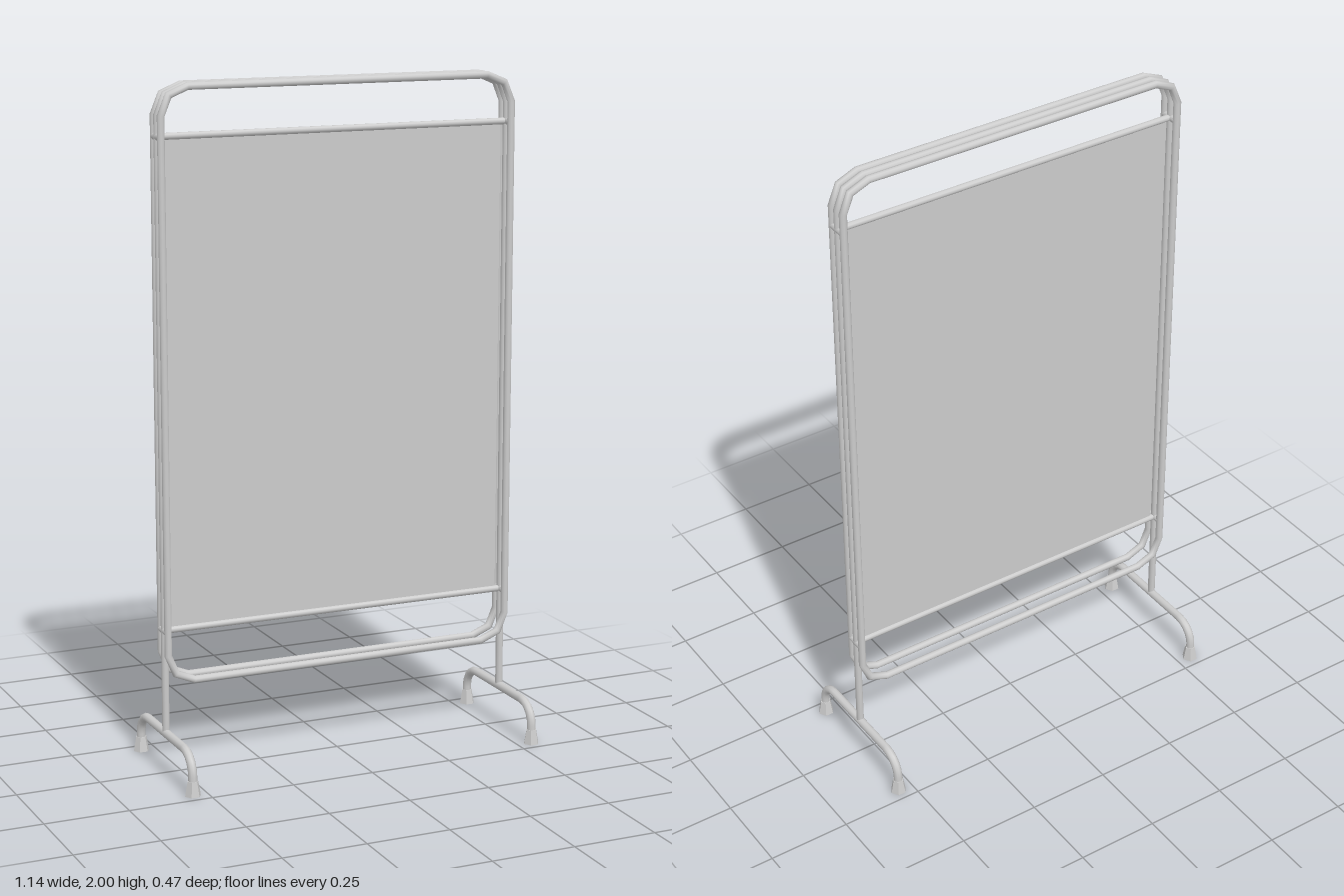
import * as THREE from 'three';

const material = new THREE.MeshStandardMaterial({ color: 0xcccccc });
const HALF_W = 0.545, TUBE = 0.011, GAP = 0.028, BEND = 0.08;

// Mitred round tube along a flat path of [x, y] points
function sweep(points, radius, closed = false, sides = 10) {
  const n = points.length, pos = [], index = [];
  const P = points.map(([x, y]) => new THREE.Vector2(x, y));
  for (let i = 0; i < n; i++) {
    const prev = closed ? P[(i + n - 1) % n] : P[Math.max(i - 1, 0)];
    const next = closed ? P[(i + 1) % n] : P[Math.min(i + 1, n - 1)];
    const a = P[i].clone().sub(prev).normalize();
    const b = next.clone().sub(P[i]).normalize();
    const t = a.clone().add(b).normalize();
    const mitre = radius / Math.max(t.dot(a), t.dot(b));
    for (let j = 0; j < sides; j++) {
      const ang = (j / sides) * Math.PI * 2;
      const c = Math.cos(ang) * mitre;
      pos.push(P[i].x - t.y * c, P[i].y + t.x * c, Math.sin(ang) * radius);
    }
  }
  for (let i = 0; i < (closed ? n : n - 1); i++) {
    for (let j = 0; j < sides; j++) {
      const k = (j + 1) % sides, r0 = i * sides, r1 = ((i + 1) % n) * sides;
      index.push(r0 + j, r0 + k, r1 + j, r0 + k, r1 + k, r1 + j);
    }
  }
  const g = new THREE.BufferGeometry();
  g.setAttribute('position', new THREE.Float32BufferAttribute(pos, 3));
  g.setIndex(index);
  g.computeVertexNormals();
  return g;
}

// Points of a quarter bend, counter-clockwise from the start angle
function bend(cx, cy, r, start, steps) {
  return Array.from({ length: steps + 1 }, (_, i) => {
    const a = start + (i / steps) * Math.PI / 2;
    return [cx + Math.cos(a) * r, cy + Math.sin(a) * r];
  });
}

export function createModel() {
  const group = new THREE.Group();
  const add = (name, geometry, x = 0, y = 0, z = 0) => {
    const mesh = new THREE.Mesh(geometry, material);
    mesh.name = name;
    mesh.position.set(x, y, z);
    group.add(mesh);
    return mesh;
  };

  // Front and back frames: closed loops with faceted corners
  const cx = HALF_W - BEND, topY = 2 - TUBE - BEND, lowY = 0.27 + TUBE + BEND;
  const topBends = [...bend(cx, topY, BEND, 0, 2), ...bend(-cx, topY, BEND, Math.PI / 2, 2)];
  const loop = [
    ...topBends,
    ...bend(-cx, lowY, BEND, Math.PI, 2),
    ...bend(cx, lowY, BEND, Math.PI * 1.5, 2),
  ];
  add('frontFrame', sweep(loop, TUBE, true), 0, 0, GAP);
  add('backFrame', sweep(loop, TUBE, true), 0, 0, -GAP);

  // Middle frame: arch whose posts run down to the feet
  add('middleFrame', sweep([[HALF_W, 0.12], ...topBends, [-HALF_W, 0.12]], TUBE));

  // Screen panel between two rods
  add('screenPanel', new THREE.BoxGeometry(1.05, 1.42, 0.004), 0, 1.14, 0);
  for (const y of [0.43, 1.85]) {
    const rod = add('panelRod', new THREE.CylinderGeometry(0.01, 0.01, 2 * HALF_W - 0.01, 10), 0, y, 0);
    rod.rotation.z = Math.PI / 2;
  }

  // Foot: bar bent down at both ends
  const footZ = 0.212, r = 0.065, barY = 0.12;
  const footPath = [
    [footZ, 0.02],
    ...bend(footZ - r, barY - r, r, 0, 5),
    ...bend(-footZ + r, barY - r, r, Math.PI / 2, 5),
    [-footZ, 0.02],
  ];
  for (const side of [1, -1]) {
    const x = side * HALF_W;
    add('footBar', sweep(footPath, 0.013), x).rotation.y = Math.PI / 2;

    // Flared six-sided rubber tips
    for (const end of [1, -1]) {
      const tip = new THREE.CylinderGeometry(0.016, 0.024, 0.044, 6).toNonIndexed();
      tip.rotateY(Math.PI / 6);
      tip.computeVertexNormals();
      add('footTip', tip, x, 0.022, end * footZ);
    }

    // Pins joining the three frames
    for (const y of [0.43, 1.85]) {
      const pin = add('framePin', new THREE.CylinderGeometry(0.011, 0.011, 2 * GAP, 10), x, y, 0);
      pin.rotation.x = Math.PI / 2;
    }
  }
  return group;
}
